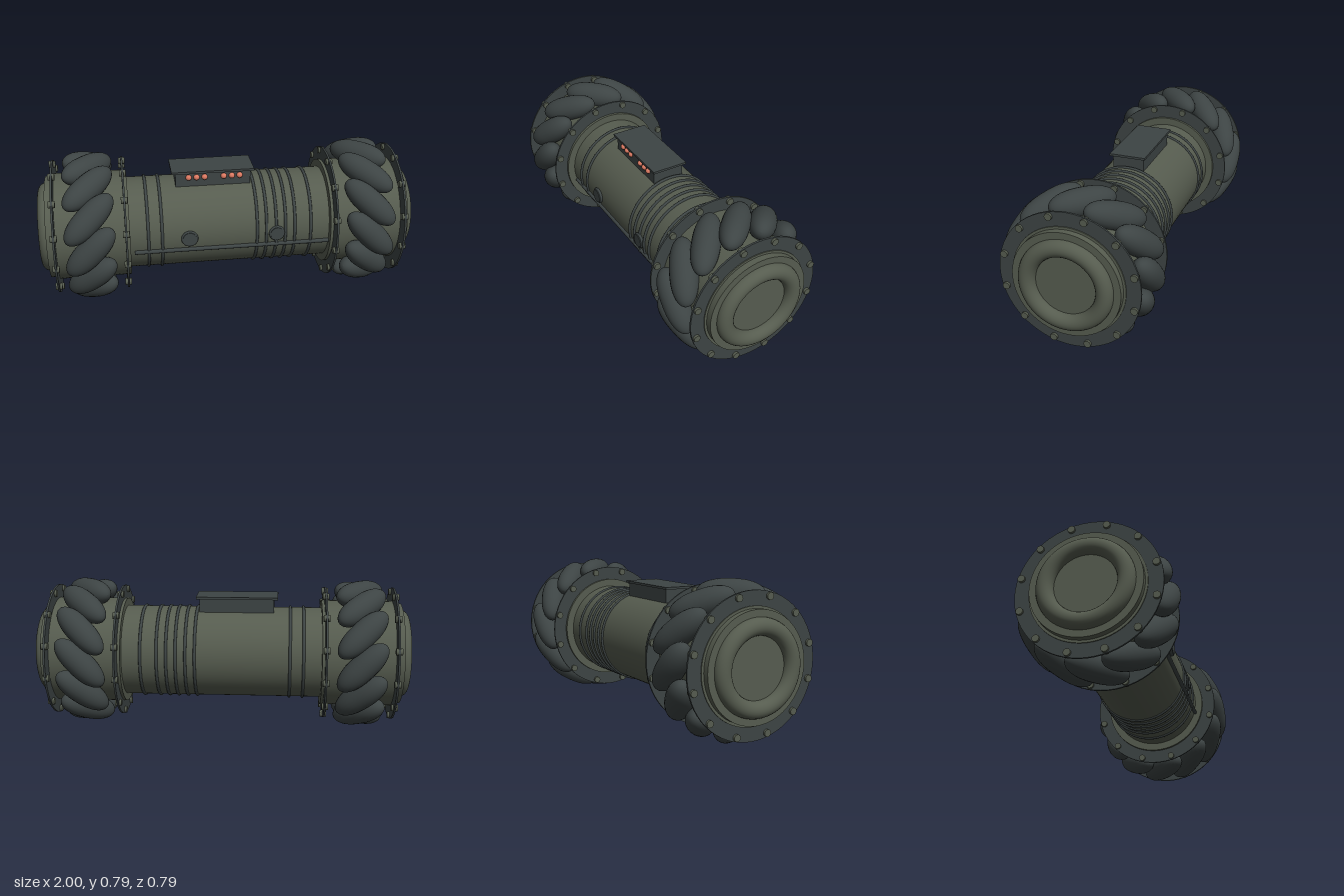
import * as THREE from 'three';

const AXIS_Y = 0.395;
const olive = new THREE.MeshStandardMaterial({ color: 0x565c4f });
olive.name = 'olive metal';
const slate = new THREE.MeshStandardMaterial({ color: 0x3d4444 });
slate.name = 'dark slate';
const lamp = new THREE.MeshStandardMaterial({ color: 0xdd7a62 });
lamp.name = 'lamp orange';

function add(parent, name, geometry, material, x = 0, y = 0, z = 0) {
  const mesh = new THREE.Mesh(geometry, material);
  mesh.name = name;
  mesh.position.set(x, y, z);
  parent.add(mesh);
  return mesh;
}

// Cylinder lying along x, from x0 to x1
function drum(parent, name, radius, x0, x1, material, y = 0, z = 0, sides = 64) {
  const g = new THREE.CylinderGeometry(radius, radius, Math.abs(x1 - x0), sides);
  g.rotateZ(Math.PI / 2);
  return add(parent, name, g, material, (x0 + x1) / 2, y, z);
}

// Torus circling the x axis
function hoop(parent, name, radius, tube, x, material, tubeSides = 10) {
  const g = new THREE.TorusGeometry(radius, tube, tubeSides, 64);
  g.rotateY(Math.PI / 2);
  return add(parent, name, g, material, x);
}

// Barrel-shaped roller profile
function rollerGeometry() {
  const points = [];
  for (let i = 0; i <= 24; i++) {
    const u = -Math.cos((i / 24) * Math.PI);
    const r = 0.07 * Math.sqrt(Math.max(0, 1 - Math.pow(Math.abs(u), 2.4)));
    points.push(new THREE.Vector2(r, u * 0.168));
  }
  return new THREE.LatheGeometry(points, 24);
}

// Wheel with slanted rollers between two bolted plates
function buildWheel(side) {
  const wheel = new THREE.Group();
  wheel.name = side > 0 ? 'leftWheel' : 'rightWheel';
  drum(wheel, 'hub', 0.285, side * 0.53, side * 0.925, olive);
  drum(wheel, 'hubEnd', 0.2725, side * 0.92, side * 0.957, olive);
  hoop(wheel, 'hubCapRing', 0.1945, 0.043, side * 0.957, olive, 24);

  const geometry = rollerGeometry();
  for (let i = 0; i < 12; i++) {
    const arm = new THREE.Group();
    arm.name = 'rollerArm';
    arm.rotation.x = (i * Math.PI) / 6;
    const roller = add(arm, 'roller', geometry, slate, side * 0.734, 0, 0.325);
    roller.rotation.z = (side * Math.PI) / 4;
    wheel.add(arm);
  }

  for (const px of [0.55, 0.915]) {
    drum(wheel, 'sidePlate', 0.357, side * (px - 0.005), side * (px + 0.005), slate);
    for (let i = 0; i < 12; i++) {
      const a = ((i + 0.5) * Math.PI) / 6;
      drum(wheel, 'bolt', 0.018, side * (px - 0.017), side * (px + 0.017), olive,
        0.336 * Math.cos(a), 0.336 * Math.sin(a), 14);
    }
  }
  return wheel;
}

export function createModel() {
  const model = new THREE.Group();
  model.name = 'rollerRobot';
  const body = new THREE.Group();
  body.name = 'body';
  body.position.y = AXIS_Y;
  model.add(body);

  // Barrel and its raised bands
  drum(body, 'barrel', 0.245, -0.54, 0.54, olive);
  for (const x of [-0.435, -0.363, 0.14, 0.19, 0.242, 0.292, 0.343, 0.43]) {
    hoop(body, 'band', 0.246, 0.008, x, slate);
  }

  // Front rail and round ports
  drum(body, 'frontRail', 0.011, -0.51, 0.53, slate, -0.067, 0.24, 12);
  for (const [x, r] of [[-0.22, 0.037], [0.245, 0.035]]) {
    const g = new THREE.CylinderGeometry(r, r, 0.03, 28);
    g.rotateX(Math.PI / 2);
    add(body, 'port', g, slate, x, 0, 0.246);
    add(body, 'portRim', new THREE.TorusGeometry(r, 0.008, 8, 32), slate, x, 0, 0.249);
  }
  add(body, 'portStem', new THREE.BoxGeometry(0.012, 0.06, 0.012), slate, 0.245, -0.05, 0.243);

  // Lamp box with overhanging lid
  add(body, 'lampBox', new THREE.BoxGeometry(0.4, 0.09, 0.17), slate, -0.075, 0.262, 0.003);
  add(body, 'lampBoxLid', new THREE.BoxGeometry(0.44, 0.012, 0.195), slate, -0.076, 0.309, 0.003);
  const bulb = new THREE.SphereGeometry(0.016, 16, 12);
  for (const x of [-0.205, -0.163, -0.12, -0.018, 0.025, 0.067]) {
    add(body, 'lamp', bulb, lamp, x, 0.278, 0.088);
  }

  body.add(buildWheel(1), buildWheel(-1));
  return model;
}
